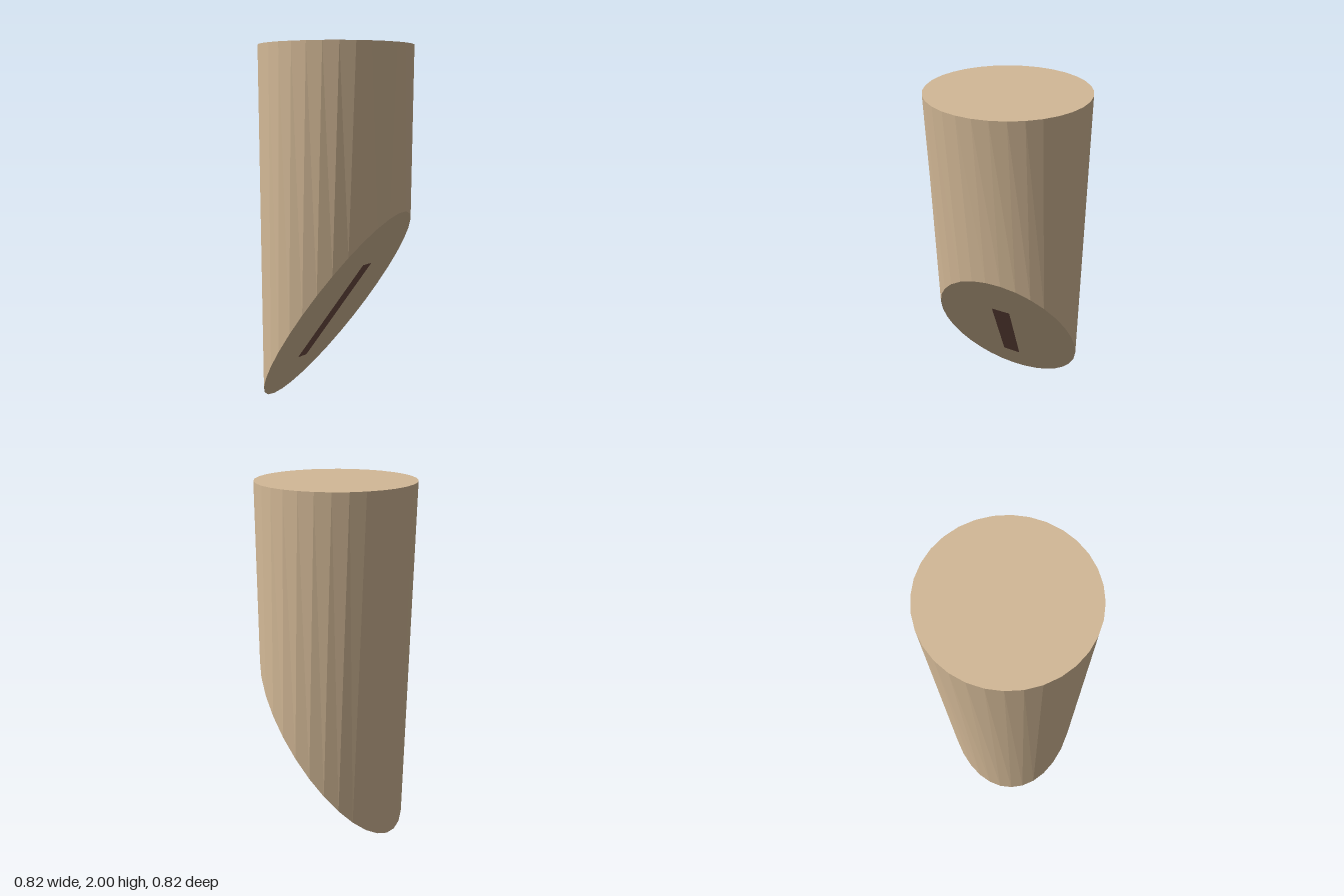
import * as THREE from 'three';

const SIDES = 32;
const wood = new THREE.MeshStandardMaterial({ color: 0xd2b896, flatShading: true });
wood.name = 'pale wood';
const dark = new THREE.MeshStandardMaterial({ color: 0x6f4d43, flatShading: true });
dark.name = 'dark brown';

// Height of the slanted cut plane at (x, z)
const SLOPE_X = 1.419, SLOPE_Z = 0.607;
const cutY = (x, z) => 0.567 + SLOPE_X * (x - 0.005) + SLOPE_Z * z;

function meshFrom(points, material, name) {
  const geometry = new THREE.BufferGeometry().setFromPoints(points);
  geometry.computeVertexNormals();
  const mesh = new THREE.Mesh(geometry, material);
  mesh.name = name;
  return mesh;
}

export function createModel() {
  const group = new THREE.Group();
  group.name = 'slantCutPost';

  // Round rim at the top, skewed oval rim on the cut
  const topRim = [], cutRim = [];
  for (let i = 0; i <= SIDES; i++) {
    const a = (i / SIDES) * Math.PI * 2;
    const c = Math.cos(a), s = Math.sin(a);
    topRim.push(new THREE.Vector3(0.411 * c, 2, 0.411 * s));
    const x = 0.005 + 0.398 * c - 0.042 * s;
    const z = -0.042 * c + 0.388 * s;
    cutRim.push(new THREE.Vector3(x, cutY(x, z), z));
  }
  const topMid = new THREE.Vector3(0, 2, 0);
  const cutMid = new THREE.Vector3(0.005, cutY(0.005, 0), 0);

  const side = [], top = [], cut = [];
  for (let i = 0; i < SIDES; i++) {
    const t0 = topRim[i], t1 = topRim[i + 1], b0 = cutRim[i], b1 = cutRim[i + 1];
    side.push(t0, t1, b0, t1, b1, b0);
    top.push(topMid, t1, t0);
    cut.push(cutMid, b0, b1);
  }
  group.add(meshFrom(side, wood, 'postSide'));
  group.add(meshFrom(top, wood, 'postTop'));
  group.add(meshFrom(cut, wood, 'slantedFace'));

  // Dark slot lying just proud of the slanted face
  const lift = new THREE.Vector3(SLOPE_X, -1, SLOPE_Z).setLength(0.004);
  const [p, q, r, s] = [[0.16, 0.085], [-0.22, 0.025], [-0.19, -0.07], [0.195, -0.01]]
    .map(([x, z]) => new THREE.Vector3(x, cutY(x, z), z).add(lift));
  group.add(meshFrom([p, q, r, p, r, s], dark, 'slot'));

  return group;
}
